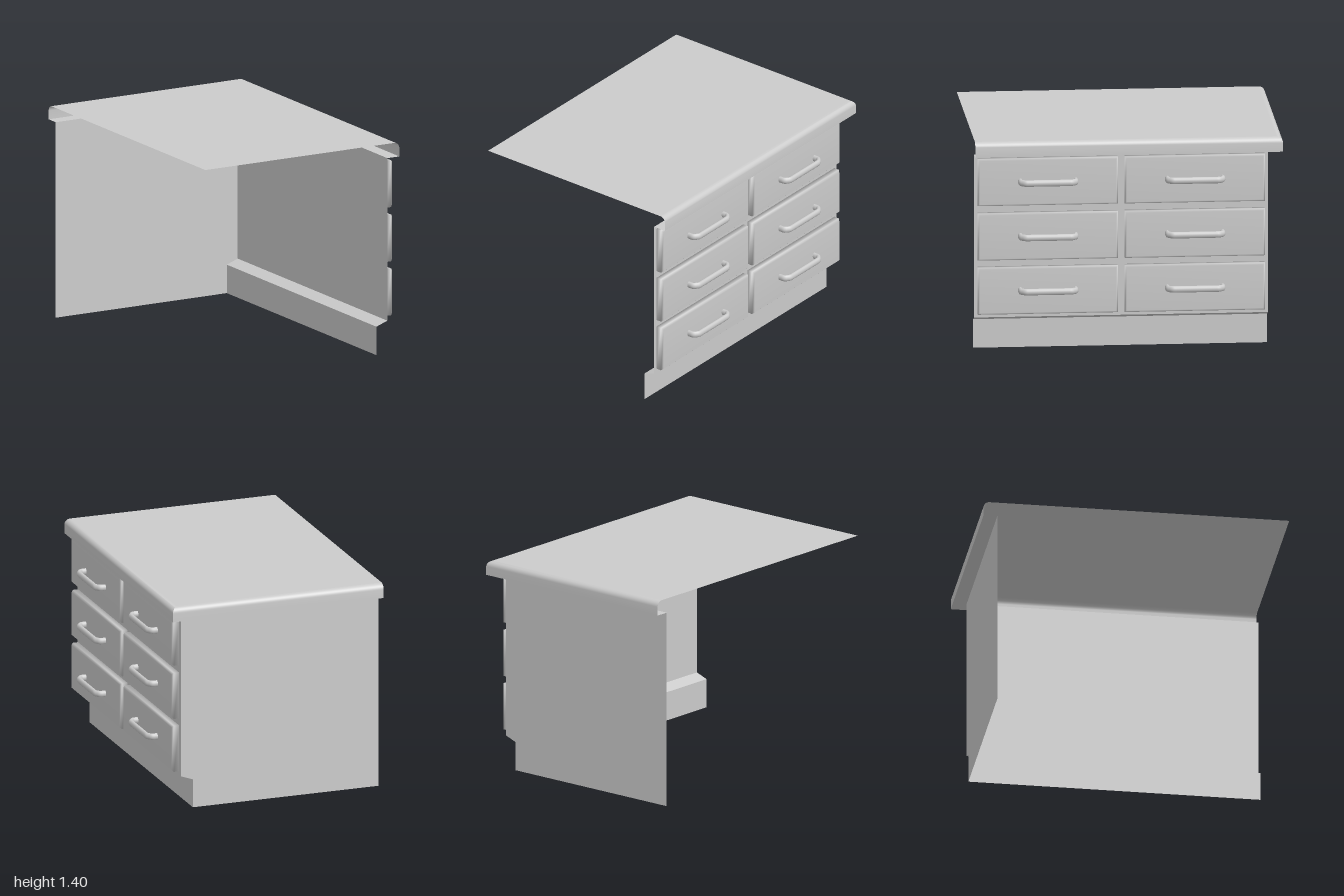
import * as THREE from 'three';
import { mergeVertices, toCreasedNormals } from 'three/addons/utils/BufferGeometryUtils.js';

const material = new THREE.MeshStandardMaterial({ color: 0xcccccc, side: THREE.DoubleSide });
const FACE_X = 0.617, WALL_Z = -0.91, LEFT_X = -0.75, END_Z = 1;

function mesh(name, geometry) {
  const m = new THREE.Mesh(geometry, material);
  m.name = name;
  return m;
}

// Skin a grid of [x, y, z] points, rows running upwards
function loft(rows, crease) {
  const n = rows[0].length, index = [];
  for (let i = 0; i < rows.length - 1; i++) {
    for (let j = 0; j < n - 1; j++) {
      const a = i * n + j, b = a + 1, c = a + n, d = c + 1;
      index.push(a, b, c, b, d, c);
    }
  }
  const g = new THREE.BufferGeometry();
  g.setAttribute('position', new THREE.Float32BufferAttribute(rows.flat(2), 3));
  g.setIndex(index);
  return toCreasedNormals(g, crease);
}

// Drawer front: box with a chamfered outer edge and soft shading
function drawerGeometry(height, width) {
  const depth = 0.05, inset = 0.012;
  const g = new THREE.BoxGeometry(depth, height, width, 2, 1, 1);
  const p = g.attributes.position;
  for (let i = 0; i < p.count; i++) {
    const x = p.getX(i), y = p.getY(i), z = p.getZ(i);
    if (x > 0.01) p.setXYZ(i, x, y - Math.sign(y) * inset, z - Math.sign(z) * inset);
    else if (x > -0.01) p.setX(i, depth / 2 - 0.013);
  }
  g.deleteAttribute('normal');
  g.deleteAttribute('uv');
  const soft = mergeVertices(g);
  soft.computeVertexNormals();
  return soft;
}

// Handle: bar with cut corners, oval in section
function handleGeometry() {
  const v = (x, z) => new THREE.Vector3(x, 0, z);
  const pts = [v(-0.01, -0.18), v(0.04, -0.18), v(0.063, -0.15),
    v(0.063, 0.15), v(0.04, 0.18), v(-0.01, 0.18)];
  const path = new THREE.CurvePath();
  let from = pts[0];
  for (let i = 1; i < pts.length - 1; i++) {
    const before = pts[i].clone().add(pts[i - 1].clone().sub(pts[i]).setLength(0.012));
    const after = pts[i].clone().add(pts[i + 1].clone().sub(pts[i]).setLength(0.012));
    path.add(new THREE.LineCurve3(from, before));
    path.add(new THREE.QuadraticBezierCurve3(before, pts[i], after));
    from = after;
  }
  path.add(new THREE.LineCurve3(from, pts[pts.length - 1]));
  return new THREE.TubeGeometry(path, 72, 0.016, 12).scale(1, 1.35, 1);
}

export function createModel() {
  const model = new THREE.Group();
  model.name = 'cornerDrawerUnit';

  // Drawer face with recessed plinth, turning the corner into the plain wall
  const faceProfile = [[0.535, 0], [0.535, 0.19], [FACE_X, 0.22], [FACE_X, 1.305]];
  model.add(mesh('carcass', loft(faceProfile.map(([x, y]) =>
    [[x, y, END_Z], [x, y, WALL_Z], [LEFT_X, y, WALL_Z]]), 0.2)));

  // Rounded countertop edge: [overhang, height], mitred at the corner
  const lip = 0.09, r = 0.038, top = 1.4;
  const edgeProfile = [[0, 1.305], [lip, 1.305]];
  for (let i = 0; i <= 8; i++) {
    const a = i / 8 * Math.PI / 2;
    edgeProfile.push([lip - r + r * Math.cos(a), top - r + r * Math.sin(a)]);
  }
  model.add(mesh('countertopEdge', loft(edgeProfile.map(([d, y]) =>
    [[FACE_X + d, y, END_Z], [FACE_X + d, y, WALL_Z - d], [LEFT_X, y, WALL_Z - d]]), 0.6)));

  // Flat countertop
  const x1 = FACE_X + lip - r, z0 = WALL_Z - lip + r;
  const slab = new THREE.PlaneGeometry(x1 - LEFT_X, END_Z - z0).rotateX(-Math.PI / 2);
  slab.translate((x1 + LEFT_X) / 2, top, (END_Z + z0) / 2);
  model.add(mesh('countertop', slab));

  // Two columns of three drawers, each with a handle
  const front = drawerGeometry(0.312, 0.91), bar = handleGeometry();
  for (const z of [0.525, -0.43]) {
    for (const y of [0.403, 0.763, 1.125]) {
      const drawer = new THREE.Group();
      drawer.name = 'drawer';
      const panel = mesh('drawerFront', front);
      panel.position.x = 0.645;
      const handle = mesh('handle', bar);
      handle.position.set(0.666, 0.005, 0);
      drawer.add(panel, handle);
      drawer.position.set(0, y, z);
      model.add(drawer);
    }
  }
  return model;
}
